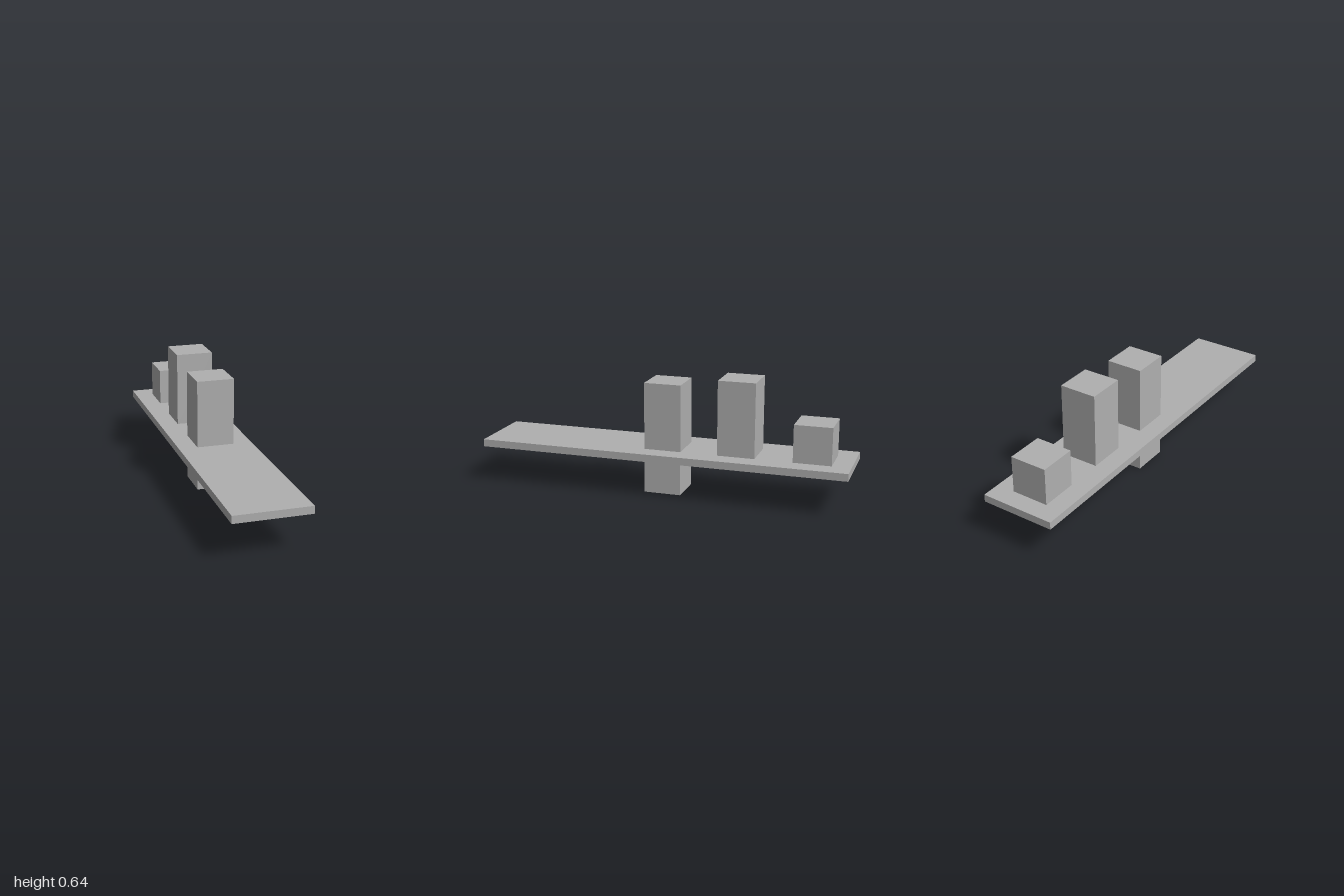
import * as THREE from 'three';

export function createModel() {
  const model = new THREE.Group();
  const grey = new THREE.MeshStandardMaterial({ color: 0xb0b0b0 });
  grey.name = 'grey';

  // Box standing on height y, centred on x = 0
  function addBox(name, width, height, depth, y, z) {
    const mesh = new THREE.Mesh(new THREE.BoxGeometry(width, height, depth), grey);
    mesh.name = name;
    mesh.position.set(0, y + height / 2, z);
    model.add(mesh);
  }

  // Long flat plank
  addBox('plank', 0.4, 0.04, 2, 0.2, 0);

  // Central post passing through the plank
  addBox('centrePost', 0.2, 0.6, 0.2, 0, 0);

  // Blocks standing on the rear half
  addBox('tallBlock', 0.2, 0.4, 0.2, 0.24, -0.4);
  addBox('shortBlock', 0.2, 0.2, 0.2, 0.24, -0.8);

  return model;
}
